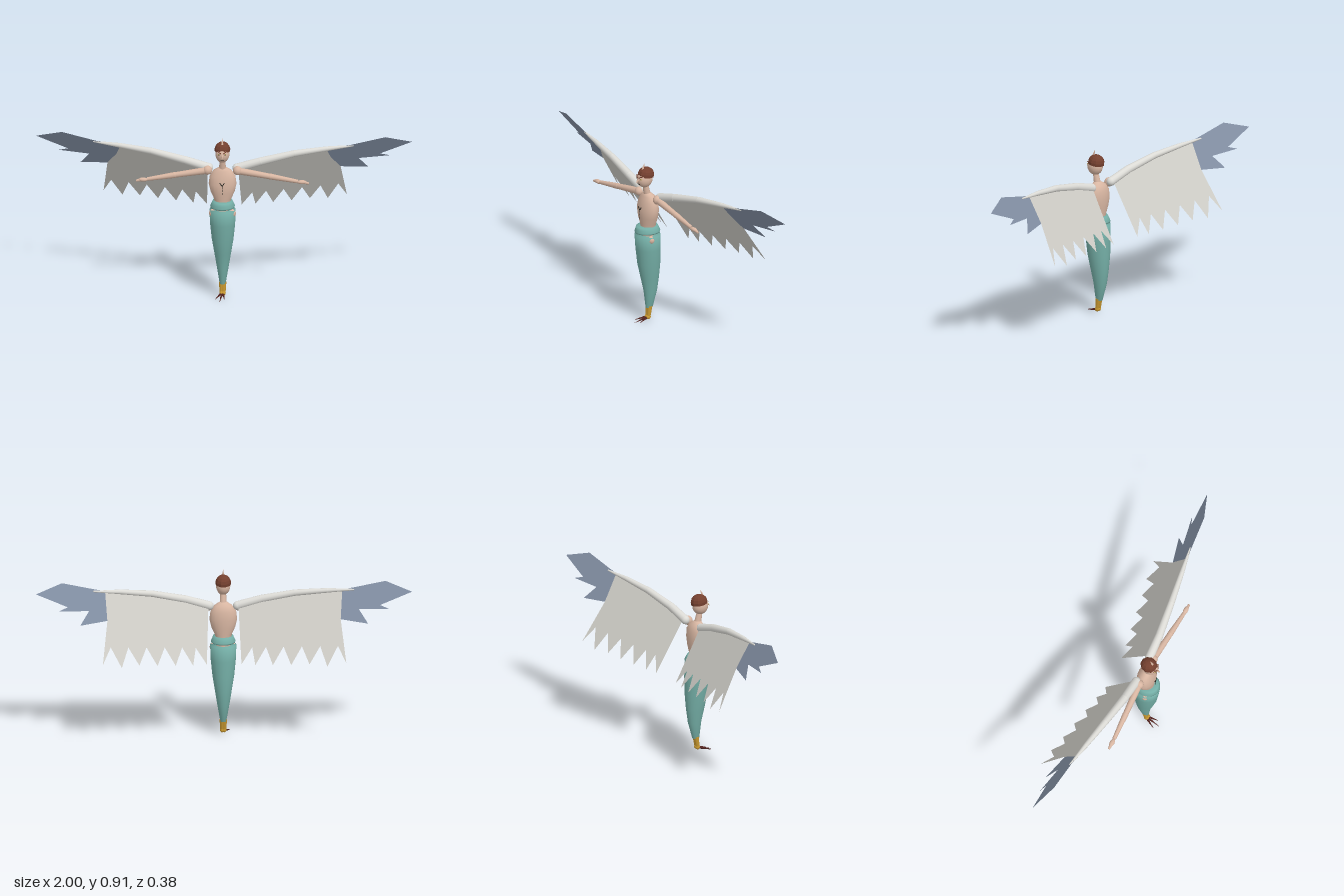
import * as THREE from 'three';

const mat = (name, color, double) => {
  const m = new THREE.MeshStandardMaterial({ color });
  m.name = name;
  if (double) m.side = THREE.DoubleSide;
  return m;
};
const V = (x, y, z) => new THREE.Vector3(x, y, z);

export function createModel() {
  const model = new THREE.Group();
  const skin = mat('skin', 0xd8b6a2);
  const teal = mat('tealCloth', 0x74aea6, true);
  const hairMat = mat('brownHair', 0x74402f);
  const bone = mat('paleDown', 0xdcdbd6);
  const grey = mat('greyFeather', 0xcfcdc7, true);
  const blue = mat('slateFeather', 0x828fa3, true);
  const gold = mat('goldScale', 0xcb9a30);
  const claw = mat('darkClaw', 0x54241f);
  const dark = mat('darkDetail', 0x2c2a24, true);
  const eyeMat = mat('eyeYellow', 0xb9a650);

  const add = (parent, name, geo, material, pos) => {
    const m = new THREE.Mesh(geo, material);
    m.name = name;
    if (pos) m.position.copy(pos);
    parent.add(m);
    return m;
  };
  const ball = (parent, name, material, pos, rx, ry = rx, rz = rx) =>
    add(parent, name, new THREE.SphereGeometry(1, 16, 12).scale(rx, ry, rz), material, pos);
  // Tapered round segment between two points
  const limb = (parent, name, material, a, b, ra, rb, sides = 12) => {
    const d = b.clone().sub(a);
    const m = add(parent, name, new THREE.CylinderGeometry(rb, ra, d.length(), sides), material,
      a.clone().add(b).multiplyScalar(0.5));
    m.quaternion.setFromUnitVectors(V(0, 1, 0), d.normalize());
    return m;
  };
  // Body of stacked rings; each ring is [y, half width, half depth, centre z]
  const loft = (name, rings, material, n = 20) => {
    const pos = [], idx = [];
    rings.forEach(([y, rx, rz, cz], j) => {
      for (let i = 0; i < n; i++) {
        const a = (i / n) * Math.PI * 2;
        pos.push(Math.sin(a) * rx, y, cz + Math.cos(a) * rz);
        if (j === 0) continue;
        const k = (i + 1) % n, p = (j - 1) * n, q = j * n;
        idx.push(p + i, p + k, q + k, p + i, q + k, q + i);
      }
    });
    const g = new THREE.BufferGeometry();
    g.setAttribute('position', new THREE.Float32BufferAttribute(pos, 3));
    g.setIndex(idx);
    g.computeVertexNormals();
    return add(model, name, g, material);
  };

  // Torso and waist
  loft('torso', [
    [0.49, 0.04, 0.042, 0.105], [0.53, 0.041, 0.038, 0.103], [0.56, 0.046, 0.04, 0.103],
    [0.6, 0.064, 0.046, 0.104], [0.645, 0.074, 0.049, 0.104], [0.69, 0.068, 0.043, 0.101],
    [0.72, 0.048, 0.032, 0.102], [0.737, 0.02, 0.018, 0.108], [0.742, 0.001, 0.001, 0.108]], skin);

  // Skirt and sash
  loft('skirt', [
    [0.076, 0.0, 0.0, 0.095], [0.076, 0.016, 0.02, 0.096], [0.17, 0.032, 0.038, 0.088],
    [0.25, 0.045, 0.052, 0.092], [0.33, 0.058, 0.063, 0.098], [0.42, 0.067, 0.067, 0.103],
    [0.5, 0.07, 0.069, 0.107], [0.5, 0.0, 0.0, 0.107]], teal).material.flatShading = false;
  loft('sash', [
    [0.515, 0.04, 0.04, 0.107], [0.515, 0.064, 0.07, 0.107], [0.522, 0.066, 0.07, 0.107],
    [0.535, 0.06, 0.066, 0.108], [0.55, 0.053, 0.06, 0.11], [0.55, 0.04, 0.04, 0.105]], teal);
  for (const s of [-1, 1]) ball(model, 'hip', skin, V(s * 0.052, 0.483, 0.122), 0.02, 0.022, 0.018);

  // Neck and head
  limb(model, 'neck', skin, V(0, 0.725, 0.108), V(0, 0.79, 0.122), 0.019, 0.015);
  const head = new THREE.Group();
  head.name = 'head';
  model.add(head);
  ball(head, 'skull', skin, V(0, 0.82, 0.125), 0.038, 0.048, 0.045);
  const cap = new THREE.SphereGeometry(1, 10, 5, 0, Math.PI * 2, 0, 1.75).toNonIndexed();
  cap.scale(0.042, 0.044, 0.047);
  cap.computeVertexNormals();
  const hair = add(head, 'hair', cap, hairMat, V(0, 0.841, 0.117));
  hair.rotation.x = -0.12;
  limb(head, 'nose', skin, V(0, 0.825, 0.162), V(0, 0.809, 0.184), 0.009, 0.001, 6);
  limb(head, 'crestSpike', skin, V(0, 0.875, 0.138), V(0, 0.91, 0.126), 0.007, 0.0005, 6);
  for (const s of [-1, 1]) {
    ball(head, 'eye', eyeMat, V(s * 0.016, 0.828, 0.162), 0.006, 0.005, 0.004);
    ball(head, 'pupil', dark, V(s * 0.016, 0.828, 0.165), 0.0025, 0.003, 0.002);
    limb(head, 'brow', hairMat, V(s * 0.006, 0.836, 0.17), V(s * 0.026, 0.845, 0.157), 0.003, 0.002, 6);
  }
  add(head, 'mouth', new THREE.BoxGeometry(0.018, 0.003, 0.004), dark, V(0, 0.798, 0.164));

  // Chest mark
  for (const s of [-1, 1]) {
    const v = add(model, 'chestMark', new THREE.BoxGeometry(0.004, 0.022, 0.003), dark, V(s * 0.006, 0.656, 0.158));
    v.rotation.z = -s * 0.6;
  }
  for (let i = 0; i < 3; i++)
    add(model, 'chestDash', new THREE.BoxGeometry(0.003, 0.012, 0.003), dark, V(0, 0.64 - i * 0.018, 0.158));

  // Arms
  const arm = s => {
    const g = new THREE.Group();
    g.name = s > 0 ? 'leftArm' : 'rightArm';
    model.add(g);
    const p = (x, y, z) => V(s * x, y, z);
    ball(g, 'shoulder', skin, p(0.08, 0.717, 0.1), 0.025);
    limb(g, 'upperArm', skin, p(0.08, 0.716, 0.1), p(0.25, 0.691, 0.11), 0.019, 0.015);
    ball(g, 'elbow', skin, p(0.255, 0.69, 0.11), 0.016);
    limb(g, 'forearm', skin, p(0.255, 0.69, 0.11), p(0.4, 0.667, 0.117), 0.016, 0.01);
    ball(g, 'hand', skin, p(0.422, 0.664, 0.117), 0.025, 0.011, 0.013);
    limb(g, 'fingers', skin, p(0.43, 0.663, 0.117), p(0.46, 0.657, 0.117), 0.01, 0.006, 8);
  };

  // Wings: both feather sheets lie on one leaning plane
  const sheet = (parent, name, pts, s, material, lift) => {
    const g = new THREE.ShapeGeometry(new THREE.Shape(pts.map(([x, y]) => new THREE.Vector2(x * s, y))));
    const a = g.attributes.position;
    for (let i = 0; i < a.count; i++)
      a.setZ(i, 0.07 - 0.209 * (Math.abs(a.getX(i)) - 0.08) + 0.59 * (a.getY(i) - 0.73) + lift);
    g.computeVertexNormals();
    add(parent, name, g, material);
  };
  const tips = [[0.092, 0.452], [0.165, 0.452], [0.258, 0.457], [0.355, 0.462],
    [0.452, 0.47], [0.546, 0.464], [0.647, 0.484]];
  const inner = [[0.08, 0.725]];
  tips.forEach(([x, y], i) => {
    inner.push([x, y]);
    if (i < tips.length - 1) inner.push([x + 0.058, 0.535 + i * 0.006]);
  });
  inner.push([0.62, 0.69], [0.63, 0.825], [0.38, 0.8]);
  const outer = [[0.55, 0.815], [0.685, 0.842], [0.86, 0.882], [1, 0.838], [0.83, 0.767], [0.88, 0.75],
    [0.717, 0.742], [0.765, 0.676], [0.62, 0.69], [0.57, 0.76]];
  const spine = [[0.075, 0.725, 0.08, 0.024], [0.2, 0.762, 0.075, 0.022], [0.38, 0.802, 0.053, 0.018],
    [0.55, 0.822, 0.027, 0.013], [0.69, 0.833, 0.004, 0.004]];
  const wing = s => {
    const g = new THREE.Group();
    g.name = s > 0 ? 'leftWing' : 'rightWing';
    model.add(g);
    spine.forEach(([x, y, z, r], i) => {
      ball(g, 'wingJoint', bone, V(s * x, y, z), r);
      const n = spine[i + 1];
      if (n) limb(g, 'wingBone', bone, V(s * x, y, z), V(s * n[0], n[1], n[2]), r, n[3]);
    });
    sheet(g, 'innerFeathers', inner, s, grey, 0);
    sheet(g, 'outerFeathers', outer, s, blue, 0.002);
  };
  for (const s of [-1, 1]) { arm(s); wing(s); }

  // Scaly ankles and clawed toes
  for (const s of [-1, 1]) {
    limb(model, 'ankle', gold, V(s * 0.006, 0.025, 0.104), V(s * 0.005, 0.085, 0.096), 0.01, 0.015, 8);
    ball(model, 'foot', gold, V(s * 0.006, 0.024, 0.105), 0.011, 0.013, 0.014);
  }
  for (const [x, y, z] of [[-0.038, 0.008, 0.165], [-0.012, 0.002, 0.185], [0.014, 0.006, 0.168]])
    limb(model, 'toeClaw', claw, V(x * 0.2, 0.022, 0.108), V(x, y, z), 0.007, 0.0005, 6);

  return model;
}
